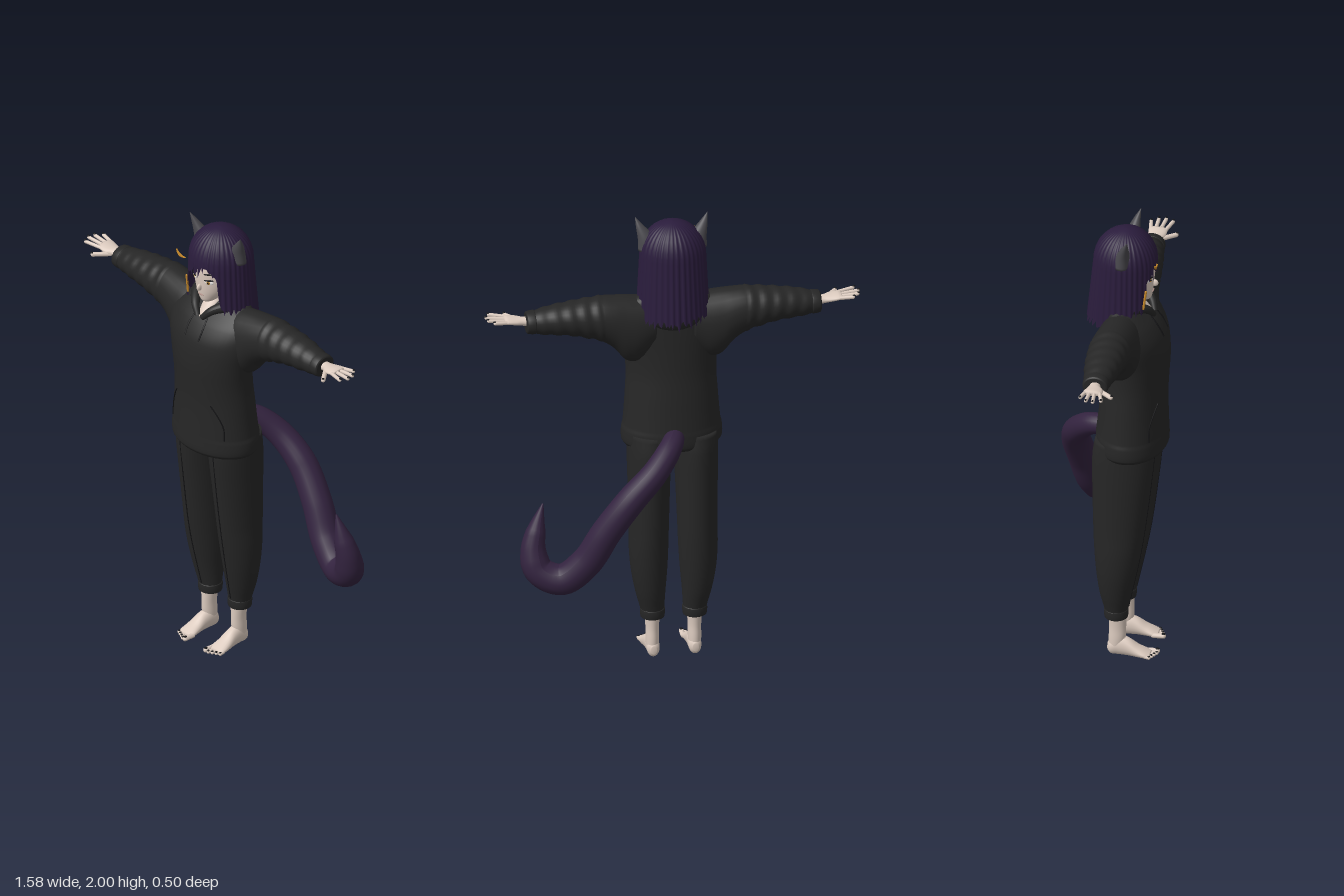
import * as THREE from 'three';

const mat = (name, color, side = THREE.FrontSide) => {
  const m = new THREE.MeshStandardMaterial({ color, side });
  m.name = name;
  return m;
};
const V = (x, y, z) => new THREE.Vector3(x, y, z);

// Cubic interpolation of cross-sections [t, c1, c2, r1, r2] at position t
function sectionAt(s, t) {
  let i = 0;
  while (i < s.length - 2 && t > s[i + 1][0]) i++;
  const a = s[i], b = s[i + 1], h = b[0] - a[0], f = (t - a[0]) / h;
  const p = s[Math.max(i - 1, 0)], n = s[Math.min(i + 2, s.length - 1)];
  return [1, 2, 3, 4].map((k) => {
    const ma = (b[k] - p[k]) / (b[0] - p[0]), mb = (n[k] - a[k]) / (n[0] - a[0]);
    const f2 = f * f, f3 = f2 * f;
    return (2 * f3 - 3 * f2 + 1) * a[k] + (f3 - 2 * f2 + f) * h * ma + (3 * f2 - 2 * f3) * b[k] + (f3 - f2) * h * mb;
  });
}

// Closed oval loft. Centres and radii run along: axis x -> (y,z), y -> (z,x), z -> (x,y)
function loft(axis, s, { seg = 28, sub = 5, ripple = () => 1 } = {}) {
  const pos = [], idx = [], ts = [];
  const put = (t, u, v) => pos.push(...(axis === 'x' ? [t, u, v] : axis === 'y' ? [v, t, u] : [u, v, t]));
  for (let i = 0; i < s.length - 1; i++)
    for (let k = 0; k < sub; k++) ts.push(s[i][0] + ((s[i + 1][0] - s[i][0]) * k) / sub);
  ts.push(s[s.length - 1][0]);
  ts.forEach((t, i) => {
    const [c1, c2, r1, r2] = sectionAt(s, t);
    for (let j = 0; j < seg; j++) {
      const a = (j / seg) * Math.PI * 2, w = ripple(t, a);
      put(t, c1 + Math.max(r1, 0.001) * w * Math.cos(a), c2 + Math.max(r2, 0.001) * w * Math.sin(a));
      if (!i) continue;
      const p = (i - 1) * seg + j, q = (i - 1) * seg + ((j + 1) % seg);
      idx.push(p, q, q + seg, p, q + seg, p + seg);
    }
  });
  const last = (ts.length - 1) * seg, c = pos.length / 3;
  put(ts[0], s[0][1], s[0][2]);
  put(ts[ts.length - 1], s[s.length - 1][1], s[s.length - 1][2]);
  for (let j = 0; j < seg; j++) {
    const k = (j + 1) % seg;
    idx.push(c, k, j, c + 1, last + j, last + k);
  }
  const g = new THREE.BufferGeometry();
  g.setAttribute('position', new THREE.Float32BufferAttribute(pos, 3));
  g.setIndex(idx);
  g.computeVertexNormals();
  return g;
}

// Rounded rod between two points
function rod(a, b, r, flat = 1) {
  const d = b.clone().sub(a), g = new THREE.CapsuleGeometry(r, d.length(), 4, 10);
  g.applyQuaternion(new THREE.Quaternion().setFromUnitVectors(V(0, 1, 0), d.normalize()));
  g.scale(1, flat, 1);
  const m = a.clone().add(b).multiplyScalar(0.5);
  return g.translate(m.x, m.y, m.z);
}

// Tube whose radius follows a list of values
function taperTube(points, radii, seg = 70, radial = 18) {
  const curve = new THREE.CatmullRomCurve3(points), g = new THREE.TubeGeometry(curve, seg, 1, radial);
  const p = g.attributes.position, v = V(0, 0, 0);
  for (let i = 0; i <= seg; i++) {
    const c = curve.getPointAt(i / seg), f = (i / seg) * (radii.length - 1), k = Math.min(Math.floor(f), radii.length - 2);
    const r = THREE.MathUtils.lerp(radii[k], radii[k + 1], f - k);
    for (let j = 0; j <= radial; j++) {
      const n = i * (radial + 1) + j;
      v.fromBufferAttribute(p, n).sub(c).multiplyScalar(r).add(c);
      p.setXYZ(n, v.x, v.y, v.z);
    }
  }
  g.computeVertexNormals();
  return g;
}

const blob = (x, y, z, rx, ry, rz, turn = 0, tilt = 0) =>
  new THREE.SphereGeometry(1, 16, 10).scale(rx, ry, rz).rotateZ(tilt).rotateY(turn).translate(x, y, z);

// Mirror a geometry across x, keeping faces outward
function mirror(g) {
  const m = g.clone().scale(-1, 1, 1), a = m.index.array;
  for (let i = 0; i < a.length; i += 3) [a[i], a[i + 1]] = [a[i + 1], a[i]];
  m.computeVertexNormals();
  return m;
}

// One sheet of hair falling from the crown, its lower edge set by the angle from the front
function hairSheet() {
  const N = 144, R = 18, pos = [], idx = [];
  const rnd = (j) => { const s = Math.sin(j * 127.1) * 43758.5; return s - Math.floor(s); };
  const step = THREE.MathUtils.smoothstep;
  for (let j = 0; j < N; j++) {
    const a = (j / N) * Math.PI * 2 - Math.PI, d = Math.abs(a) * 57.3;
    const fringe = 1.8 - 0.035 * step(-a, 0.1, 0.6) + 0.03 * step(a, 0.05, 0.25) - 0.04 * step(a, 0.3, 0.6);
    const fall = THREE.MathUtils.lerp(1.64, 1.56, step(d, 55, 110));
    const low = THREE.MathUtils.lerp(fringe, fall, step(d, 36, 45)) + 0.028 * (rnd(j) - 0.5) + 0.008 * (j % 4);
    const ridge = 1 + 0.022 * Math.cos(j * 1.57) + 0.015 * (rnd(j + 500) - 0.5);
    for (let i = 0; i <= R; i++) {
      const f = i / R, dome = Math.min(f / 0.5, 1) * Math.PI / 2;
      const y = f <= 0.5 ? 1.84 + 0.145 * Math.cos(dome) : THREE.MathUtils.lerp(1.84, low, (f - 0.5) * 2);
      const drop = Math.max(0, 1.84 - y), w = Math.sin(dome) * (f > 0.15 ? ridge : 1);
      const rz = Math.cos(a) > 0 ? 0.128 : 0.135 + drop * 0.1;
      pos.push(Math.sin(a) * w * (0.136 + drop * 0.05), y, 0.064 + Math.cos(a) * w * rz);
      if (i === R) continue;
      const p = j * (R + 1) + i, q = ((j + 1) % N) * (R + 1) + i;
      idx.push(p, p + 1, q + 1, p, q + 1, q);
    }
  }
  const g = new THREE.BufferGeometry();
  g.setAttribute('position', new THREE.Float32BufferAttribute(pos, 3));
  g.setIndex(idx);
  g.computeVertexNormals();
  return g;
}

export function createModel() {
  const model = new THREE.Group();
  const cloth = mat('charcoal cloth', 0x262626), trim = mat('dark trim', 0x141416), skin = mat('skin', 0xdccbbf);
  const hairMat = mat('violet hair', 0x2a1c3c, THREE.DoubleSide), tailMat = mat('tail plum', 0x33233f);
  const earMat = mat('ear grey', 0x48474c), gold = mat('amber', 0xc88a2a), white = mat('eye white', 0xe8e4e0);
  const lip = mat('lip', 0xb08e86);
  const add = (name, g, m) => {
    const mesh = new THREE.Mesh(g, m);
    mesh.name = name;
    model.add(mesh);
  };
  const pair = (name, g, m) => {
    add(name + 'Left', g, m);
    add(name + 'Right', mirror(g), m);
  };

  // Hoodie body with gathered hem
  const torso = [[0.968, 0.09, 0, 0.14, 0.2], [0.985, 0.09, 0, 0.15, 0.211], [1.035, 0.09, 0, 0.15, 0.211],
    [1.06, 0.091, 0, 0.148, 0.205], [1.2, 0.097, 0, 0.139, 0.194], [1.3, 0.105, 0, 0.136, 0.19],
    [1.4, 0.11, 0, 0.136, 0.2], [1.5, 0.106, 0, 0.128, 0.222], [1.57, 0.09, 0, 0.108, 0.225],
    [1.62, 0.07, 0, 0.082, 0.2], [1.655, 0.055, 0, 0.06, 0.14], [1.67, 0.05, 0, 0.04, 0.08]];
  add('hoodieBody', loft('y', torso, { seg: 40 }), cloth);
  const frontOf = (s, x, y, lift = 0.001) => {
    const [cz, cx, rz, rx] = sectionAt(s, y);
    return V(x, y, cz + rz * Math.sqrt(Math.max(0, 1 - ((x - cx) / rx) ** 2)) + lift);
  };
  const line = (s, pts, r) => new THREE.TubeGeometry(new THREE.CatmullRomCurve3(pts.map(([x, y]) => frontOf(s, x, y))), 20, r, 6);
  pair('pocketEdge', line(torso, [[0.1, 1.22], [0.125, 1.18], [0.15, 1.12], [0.155, 1.06]], 0.003), trim);
  pair('drawCord', line(torso, [[0.035, 1.6], [0.042, 1.56], [0.04, 1.51]], 0.004), trim);

  // Sleeves with soft folds, and ribbed cuffs
  pair('sleeve', loft('x', [[0.08, 1.53, 0.065, 0.11, 0.085], [0.15, 1.505, 0.065, 0.145, 0.1], [0.2, 1.512, 0.062, 0.144, 0.1],
    [0.25, 1.543, 0.058, 0.116, 0.094], [0.3, 1.562, 0.055, 0.099, 0.088], [0.36, 1.57, 0.054, 0.086, 0.084],
    [0.44, 1.575, 0.053, 0.071, 0.077], [0.52, 1.573, 0.053, 0.061, 0.066], [0.575, 1.57, 0.053, 0.051, 0.055],
    [0.6, 1.57, 0.053, 0.047, 0.052]],
  { sub: 8, ripple: (t, a) => (t > 0.3 ? 1 + 0.03 * Math.sin(t * 105 + Math.sin(a * 2)) : 1) }), cloth);
  pair('sleeveCuff', loft('x', [[0.58, 1.57, 0.053, 0.046, 0.052], [0.585, 1.57, 0.053, 0.05, 0.056],
    [0.615, 1.57, 0.053, 0.046, 0.053], [0.62, 1.57, 0.053, 0.04, 0.046]]), cloth);

  // Hood rolled around the neck, open in a V at the front
  const half = [[0.012, 1.595, 0.182], [0.05, 1.635, 0.16], [0.095, 1.66, 0.095], [0.08, 1.67, 0.02]];
  add('hoodCollar', taperTube([...half.map((p) => V(...p)), V(0, 1.66, -0.015),
    ...half.slice().reverse().map(([x, y, z]) => V(-x, y, z))], [0.012, 0.02, 0.03, 0.034, 0.036, 0.034, 0.03, 0.02, 0.012]), cloth);
  add('hoodFold', blob(0, 1.59, -0.01, 0.12, 0.075, 0.04), cloth);

  // Trousers: legs, turned cuffs and front seams
  const leg = [[0.19, 0.038, 0.089, 0.044, 0.046], [0.22, 0.038, 0.09, 0.049, 0.05], [0.3, 0.038, 0.098, 0.067, 0.063],
    [0.4, 0.042, 0.103, 0.084, 0.076], [0.5, 0.047, 0.104, 0.097, 0.082], [0.6, 0.052, 0.102, 0.107, 0.083],
    [0.8, 0.062, 0.1, 0.122, 0.088], [0.95, 0.07, 0.098, 0.131, 0.093], [1.03, 0.075, 0.098, 0.125, 0.093]];
  pair('trouserLeg', loft('y', leg), cloth);
  pair('trouserCuff', loft('y', [[0.178, 0.038, 0.089, 0.042, 0.044], [0.182, 0.038, 0.089, 0.049, 0.05],
    [0.218, 0.038, 0.089, 0.051, 0.052], [0.223, 0.038, 0.089, 0.045, 0.047]]), cloth);
  pair('trouserSeam', line(leg, [[0.088, 0.23], [0.1, 0.5], [0.1, 0.75], [0.1, 0.97]], 0.0025), trim);

  // Bare feet with toes
  pair('ankle', loft('y', [[0.03, 0.036, 0.089, 0.03, 0.026], [0.08, 0.042, 0.089, 0.036, 0.028],
    [0.13, 0.044, 0.089, 0.036, 0.028], [0.2, 0.042, 0.089, 0.038, 0.034]]), skin);
  pair('foot', loft('z', [[0.002, 0.088, 0.035, 0.012, 0.018], [0.015, 0.088, 0.037, 0.025, 0.034], [0.05, 0.088, 0.046, 0.029, 0.045],
    [0.09, 0.09, 0.041, 0.031, 0.04], [0.13, 0.092, 0.027, 0.036, 0.026], [0.165, 0.092, 0.018, 0.039, 0.016],
    [0.185, 0.091, 0.014, 0.033, 0.01]], { seg: 20 }), skin);
  for (let i = 0; i < 5; i++) {
    const x = 0.062 + i * 0.0155, z = 0.222 - i * 0.008 - (i === 0 ? 0.004 : 0), r = i === 0 ? 0.011 : 0.0075;
    pair('toe' + (i + 1), rod(V(x, 0.016, 0.165), V(x, r + 0.006, z - r), r), skin);
    pair('toenail' + (i + 1), blob(x, r * 1.8 + 0.007, z - r, r * 0.65, 0.003, r * 0.8), trim);
  }

  // Hands with spread fingers and dark nails
  pair('palm', loft('x', [[0.59, 1.572, 0.055, 0.022, 0.026], [0.63, 1.576, 0.055, 0.018, 0.024], [0.66, 1.58, 0.06, 0.016, 0.036],
    [0.695, 1.586, 0.058, 0.013, 0.04], [0.71, 1.588, 0.056, 0.008, 0.036]], { seg: 20 }), skin);
  const fingers = [[0.7, 0.09, 0.77, 0.108], [0.705, 0.068, 0.785, 0.076], [0.705, 0.047, 0.78, 0.046], [0.698, 0.028, 0.757, 0.018]];
  fingers.forEach(([x0, z0, x1, z1], i) => {
    pair('finger' + (i + 1), rod(V(x0, 1.586, z0), V(x1 - 0.004, 1.592, z1), 0.008), skin);
    pair('fingernail' + (i + 1), blob(x1, 1.599, z1, 0.007, 0.003, 0.005), trim);
  });
  pair('thumb', rod(V(0.65, 1.572, 0.08), V(0.695, 1.572, 0.135), 0.01), skin);
  pair('thumbnail', blob(0.698, 1.581, 0.139, 0.006, 0.003, 0.006), trim);

  // Neck and head
  add('neck', loft('y', [[1.57, 0.1, 0, 0.08, 0.04], [1.6, 0.1, 0, 0.078, 0.045], [1.635, 0.092, 0, 0.06, 0.045],
    [1.67, 0.078, 0, 0.045, 0.042], [1.74, 0.075, 0, 0.045, 0.042]]), skin);
  const head = [[1.658, 0.142, 0, 0.012, 0.012], [1.668, 0.132, 0, 0.035, 0.03], [1.69, 0.112, 0, 0.062, 0.052],
    [1.725, 0.096, 0, 0.083, 0.075], [1.77, 0.086, 0, 0.096, 0.09], [1.83, 0.076, 0, 0.106, 0.1],
    [1.9, 0.07, 0, 0.09, 0.09], [1.94, 0.066, 0, 0.05, 0.05]];
  add('head', loft('y', head, { seg: 36 }), skin);
  add('nose', blob(0, 1.738, 0.183, 0.008, 0.016, 0.016), skin);
  add('mouth', blob(0, 1.702, frontOf(head, 0, 1.702).z, 0.018, 0.003, 0.003), lip);
  const face = (x, y, rx, ry, tilt, lift) => {
    const p = frontOf(head, x, y, lift);
    return blob(p.x, p.y, p.z, rx, ry, 0.004, 0.45, tilt);
  };
  pair('eyeWhite', face(0.043, 1.772, 0.02, 0.01, 0, 0), white);
  pair('iris', face(0.042, 1.772, 0.008, 0.009, 0, 0.002), gold);
  pair('pupil', face(0.042, 1.772, 0.004, 0.005, 0, 0.004), trim);
  pair('upperLash', face(0.044, 1.783, 0.023, 0.004, 0.1, 0.002), trim);
  pair('brow', face(0.044, 1.812, 0.023, 0.004, 0.12, 0.001), trim);

  // Hair, amber lock and crescent clip
  add('hair', hairSheet(), hairMat);
  add('amberLock', rod(V(-0.098, 1.745, 0.165), V(-0.1, 1.665, 0.155), 0.005), gold);
  const crescent = new THREE.Shape();
  crescent.moveTo(-0.028, 0.016);
  crescent.quadraticCurveTo(-0.018, -0.026, 0.028, -0.004);
  crescent.quadraticCurveTo(-0.008, -0.008, -0.028, 0.016);
  add('crescentClip', new THREE.ExtrudeGeometry(crescent, { depth: 0.006, bevelEnabled: false }).translate(-0.088, 1.868, 0.203), gold);

  // Pointed ears
  pair('ear', loft('y', [[1.86, 0.065, 0.1, 0.035, 0.045], [1.91, 0.07, 0.108, 0.029, 0.037],
    [1.96, 0.082, 0.133, 0.015, 0.018], [1.998, 0.095, 0.152, 0.001, 0.001]]), earMat);

  // Hooked tail
  const path = [[0, 1.04, -0.01], [0.03, 1.02, -0.09], [0.11, 0.94, -0.165], [0.22, 0.83, -0.193], [0.32, 0.69, -0.183],
    [0.4, 0.55, -0.162], [0.5, 0.466, -0.138], [0.59, 0.5, -0.11], [0.612, 0.585, -0.088], [0.595, 0.68, -0.072], [0.567, 0.785, -0.06]];
  add('tail', taperTube(path.map((p) => V(...p)), [0.04, 0.05, 0.056, 0.061, 0.063, 0.065, 0.066, 0.066, 0.06, 0.042, 0.003], 90, 20), tailMat);
  return model;
}
